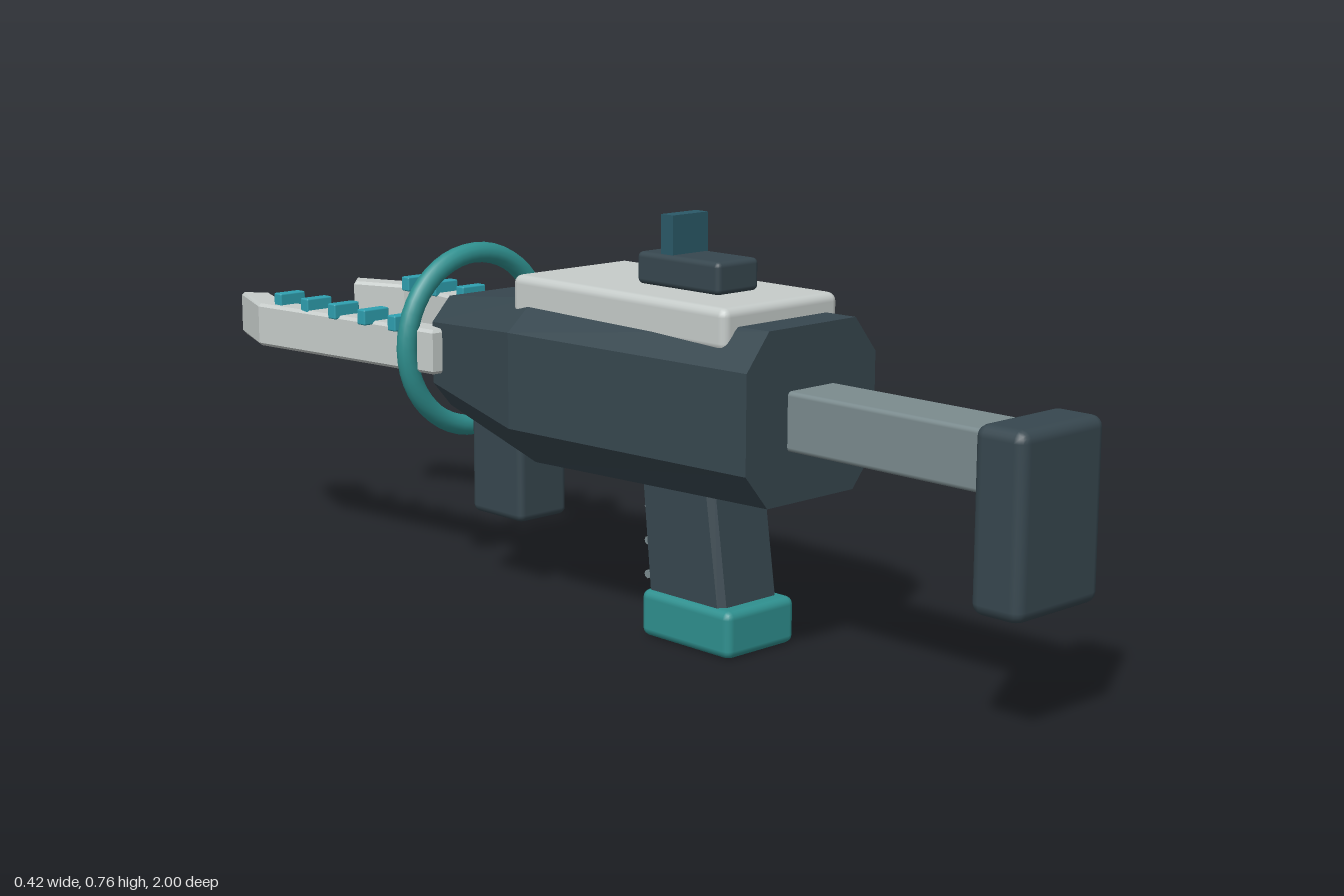
import * as THREE from 'three';
import { RoundedBoxGeometry } from 'three/addons/geometries/RoundedBoxGeometry.js';

const paint = (name, color, flatShading = false) => {
  const m = new THREE.MeshStandardMaterial({ color, flatShading });
  m.name = name;
  return m;
};

// Box given by its min/max extents, with softly rounded edges
function block(name, material, [x0, x1], [y0, y1], [z0, z1], radius = 0.015) {
  const geo = radius
    ? new RoundedBoxGeometry(x1 - x0, y1 - y0, z1 - z0, 2, radius)
    : new THREE.BoxGeometry(x1 - x0, y1 - y0, z1 - z0);
  const mesh = new THREE.Mesh(geo, material);
  mesh.name = name;
  mesh.position.set((x0 + x1) / 2, (y0 + y1) / 2, (z0 + z1) / 2);
  return mesh;
}

// Bevelled slab from an outline; the outline is the final outer size
function slab(points, depth, bevel) {
  const shape = new THREE.Shape(points.map(([x, y]) => new THREE.Vector2(x, y)));
  const geo = new THREE.ExtrudeGeometry(shape, {
    depth: depth - 2 * bevel, bevelEnabled: true, bevelSegments: 1,
    bevelSize: bevel, bevelThickness: bevel, bevelOffset: -bevel,
  });
  return geo.translate(0, 0, -(depth - 2 * bevel) / 2);
}

// Octagonal hull lofted through cross-sections
function hullGeometry(sections) {
  const loops = sections.map(({ z, w, top, bottom, tw, sideTop, sideBottom }) => [
    [w, sideBottom], [w, sideTop], [tw, top], [-tw, top],
    [-w, sideTop], [-w, sideBottom], [-tw, bottom], [tw, bottom],
  ].map(([x, y]) => [x, y, z]));
  const pos = [];
  const tri = (...corners) => corners.forEach((c) => pos.push(...c));
  for (let s = 0; s < loops.length - 1; s++) {
    for (let i = 0; i < 8; i++) {
      const j = (i + 1) % 8;
      const a = loops[s][i], b = loops[s][j], c = loops[s + 1][j], d = loops[s + 1][i];
      tri(a, d, c);
      tri(a, c, b);
    }
  }
  const first = loops[0], last = loops[loops.length - 1];
  for (let i = 1; i < 7; i++) {
    tri(first[0], first[i], first[i + 1]);
    tri(last[0], last[i + 1], last[i]);
  }
  const geo = new THREE.BufferGeometry();
  geo.setAttribute('position', new THREE.Float32BufferAttribute(pos, 3));
  geo.computeVertexNormals();
  return geo;
}

export function createModel() {
  const model = new THREE.Group();
  model.name = 'gadget';
  const dark = paint('dark slate', 0x37474f);
  const hullDark = paint('hull slate', 0x37474f, true);
  const steel = paint('steel grey', 0x7b8b8e);
  const pale = paint('pale grey', 0xc6ccca);
  const teal = paint('teal', 0x2f908f);
  const cyan = paint('cyan', 0x2fa0b0);
  const glass = paint('sight blue', 0x2b5968);
  const orange = paint('orange', 0xcc873c);

  const add = (name, geo, material) => {
    const mesh = new THREE.Mesh(geo, material);
    mesh.name = name;
    model.add(mesh);
    return mesh;
  };

  // Main hull
  add('hull', hullGeometry([
    { z: 0.47, w: 0.16, tw: 0.107, top: 0.6, bottom: 0.297, sideTop: 0.535, sideBottom: 0.36 },
    { z: -0.1, w: 0.19, tw: 0.125, top: 0.592, bottom: 0.286, sideTop: 0.535, sideBottom: 0.358 },
    { z: -0.4, w: 0.123, tw: 0.08, top: 0.556, bottom: 0.342, sideTop: 0.51, sideBottom: 0.392 },
  ]), hullDark);

  // Stock
  model.add(
    block('stockRod', steel, [-0.06, 0.06], [0.388, 0.492], [0.44, 0.92], 0.008),
    block('buttPad', dark, [-0.105, 0.105], [0.205, 0.511], [0.9, 1], 0.02),
  );

  // Top cover, sight and side panel
  model.add(
    block('topCover', pale, [-0.142, 0.142], [0.556, 0.632], [-0.145, 0.4], 0.016),
    block('sightBase', dark, [-0.051, 0.051], [0.632, 0.69], [0.09, 0.295], 0.01),
    block('sightBlade', glass, [-0.043, 0.043], [0.67, 0.76], [0.145, 0.175], 0),
    block('sidePanel', orange, [0.145, 0.188], [0.355, 0.546], [0.165, 0.43], 0.012),
  );

  // Slanted grip with ribs and a foot
  const grip = slab([[0.335, 0.06], [0.143, 0.06], [0.118, 0.32], [0.298, 0.32]], 0.146, 0.012);
  add('grip', grip.rotateY(-Math.PI / 2), dark);
  for (const y of [0.105, 0.168, 0.232]) {
    const rib = add('gripRib', new THREE.CylinderGeometry(0.008, 0.008, 0.11, 8), steel);
    rib.rotation.z = Math.PI / 2;
    rib.position.set(0, y, 0.125);
  }
  model.add(
    block('gripFoot', teal, [-0.085, 0.085], [0, 0.086], [0.137, 0.36]),
    block('foreGrip', dark, [-0.06, 0.06], [0.135, 0.37], [-0.366, -0.22], 0.014),
  );

  // Muzzle ring
  add('muzzleRing', new THREE.TorusGeometry(0.17, 0.02, 12, 48), teal).position.set(0, 0.46, -0.42);

  // Mirrored prongs with cross bars
  for (const side of [1, -1]) {
    const outline = [
      [0.098, 0.36], [0.155, 0.36], [0.211, 0.85], [0.148, 1], [0.108, 0.955], [0.153, 0.84],
    ].map(([x, y]) => [side * x, y]);
    const prong = add(side > 0 ? 'leftProng' : 'rightProng',
      slab(outline, 0.086, 0.006).rotateX(-Math.PI / 2), pale);
    prong.position.y = 0.459;
    for (const z of [-0.44, -0.535, -0.63, -0.72, -0.81]) {
      const x = side * 0.162;
      model.add(block('prongBar', cyan, [x - 0.03, x + 0.03], [0.495, 0.525], [z - 0.012, z + 0.012], 0.003));
    }
  }
  return model;
}
